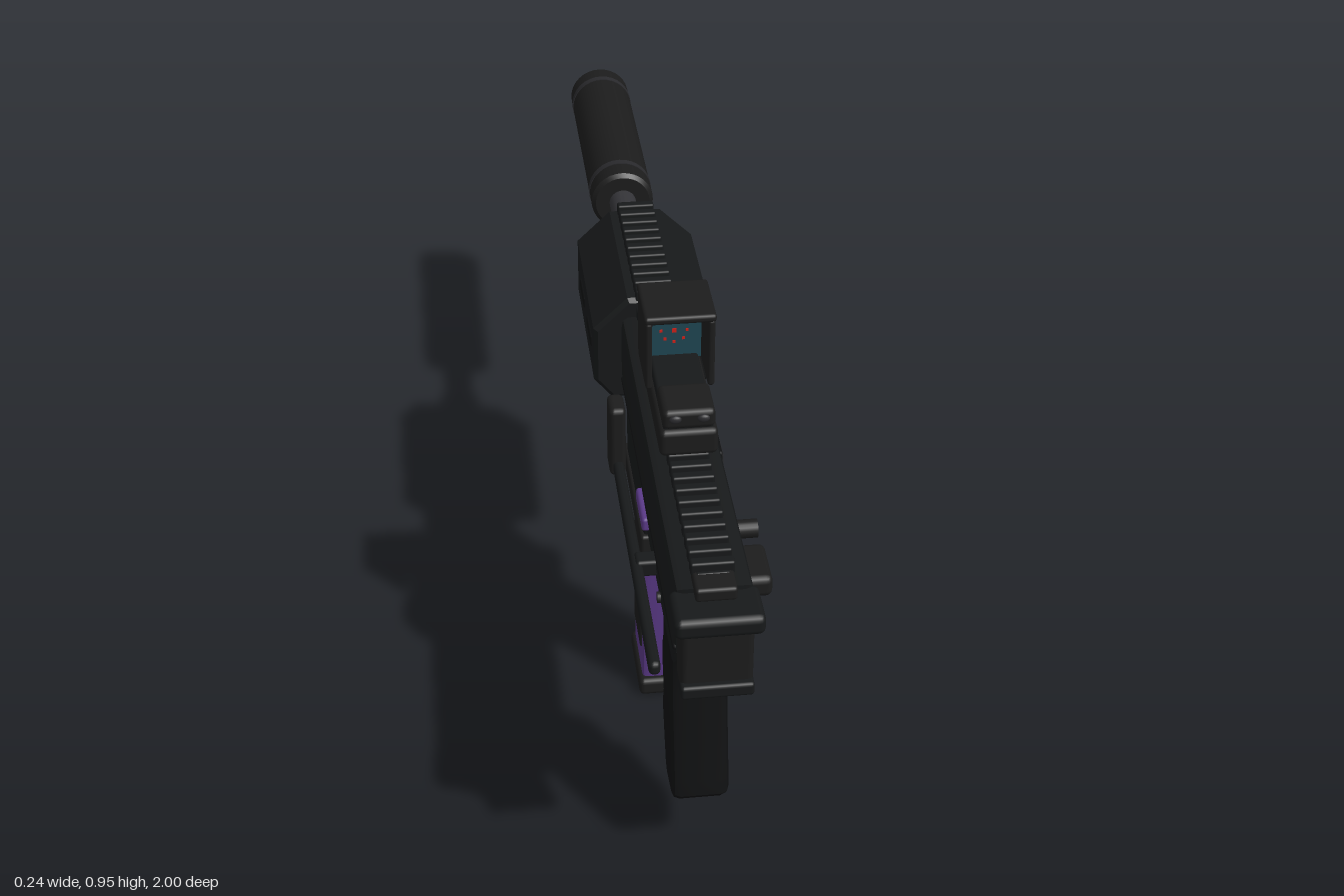
import * as THREE from 'three';
import { toCreasedNormals } from 'three/addons/utils/BufferGeometryUtils.js';
import { RoundedBoxGeometry } from 'three/addons/geometries/RoundedBoxGeometry.js';

const mat = (color) => new THREE.MeshStandardMaterial({ color });

export function createModel() {
  const model = new THREE.Group();
  const body = mat(0x17191a), dark = mat(0x101112), trim = mat(0x1c1c1c), steel = mat(0x343438),
    band = mat(0x29292c), purple = mat(0x5b3a88), glass = mat(0x1f4652), red = mat(0xd02018);

  function add(name, geometry, material, parent = model) {
    const mesh = new THREE.Mesh(geometry, material);
    mesh.name = name;
    parent.add(mesh);
    return mesh;
  }
  // Softened box given by its limits on each axis
  function box(name, [x0, x1], [y0, y1], [z0, z1], material, parent, r = 0.006) {
    const s = [x1 - x0, y1 - y0, z1 - z0];
    const g = new RoundedBoxGeometry(...s, 2, Math.min(r, Math.min(...s) * 0.45));
    g.translate((x0 + x1) / 2, (y0 + y1) / 2, (z0 + z1) / 2);
    return add(name, g, material, parent);
  }
  // Side profile of [z, y] points, extruded across x with a bevel
  function slab(name, points, width, bevel, material, x = 0, parent = model) {
    const shape = new THREE.Shape(points.map((p) => new THREE.Vector2(...p)));
    const g = new THREE.ExtrudeGeometry(shape, {
      depth: width - 2 * bevel, bevelEnabled: bevel > 0, bevelSize: bevel,
      bevelThickness: bevel, bevelOffset: -bevel, bevelSegments: 2,
    });
    g.translate(0, 0, -(width - 2 * bevel) / 2).rotateY(-Math.PI / 2).translate(x, 0, 0);
    return add(name, toCreasedNormals(g, 0.6), material, parent);
  }
  // Round part along z, from [radius, z] points running towards -z
  function turned(name, points, y, material, sides = 32) {
    const g = new THREE.LatheGeometry(points.map(([r, z]) => new THREE.Vector2(r, -z)), sides);
    g.rotateX(-Math.PI / 2).translate(0, y, 0);
    return add(name, toCreasedNormals(g, 0.5), material);
  }
  // Accessory rail: base strip with cross teeth
  function rail(name, y, z0, z1, count) {
    const g = new THREE.Group();
    g.name = name;
    model.add(g);
    box('railBase', [-0.027, 0.027], [y - 0.02, y + 0.016], [z0, z1], body, g, 0.003);
    const pitch = (z1 - z0) / count;
    for (let i = 0; i < count; i++) {
      const z = z0 + (i + 0.5) * pitch;
      box('railTooth', [-0.036, 0.036], [y + 0.008, y + 0.031], [z - pitch * 0.3, z + pitch * 0.3], body, g, 0.004);
    }
  }

  // Receiver
  slab('upperReceiver', [[0.925, 0.585], [0.88, 0.545], [0.15, 0.58], [0.105, 0.6], [0.105, 0.72], [0.925, 0.72]],
    0.128, 0.014, body);
  slab('lowerReceiver', [[0.92, 0.59], [0.92, 0.57], [0.86, 0.51], [0.45, 0.505], [0.44, 0.44], [0.16, 0.44],
    [0.145, 0.575], [0.11, 0.6]], 0.118, 0.01, body);
  box('magazineWellLip', [-0.065, 0.065], [0.425, 0.463], [0.145, 0.45], trim);
  box('ejectionPortFrame', [0.055, 0.069], [0.615, 0.705], [0.31, 0.54], dark);
  box('ejectionPort', [0.055, 0.073], [0.63, 0.69], [0.325, 0.525], band);
  for (const s of [-1, 1]) {
    box('boltCatch', [s * 0.065 - 0.008, s * 0.065 + 0.008], [0.544, 0.571], [0.44, 0.54], purple);
    box('receiverSeam', [s * 0.06 - 0.006, s * 0.06 + 0.006], [0.59, 0.602], [0.12, 0.92], dark);
    for (const z of [0.7, 0.42]) {
      const pin = new THREE.CylinderGeometry(0.01, 0.01, 0.01, 14).rotateZ(Math.PI / 2);
      add('receiverPin', pin.translate(s * 0.06, 0.525, z), trim);
    }
  }

  // Rear end cap
  box('rearPlate', [-0.06, 0.06], [0.55, 0.69], [0.92, 0.972], trim, model, 0.012);
  box('rearCap', [-0.073, 0.073], [0.675, 0.712], [0.91, 1], body, model, 0.012);
  box('rearStep', [-0.06, 0.06], [0.54, 0.565], [0.95, 0.985], body);
  box('rearSightBase', [-0.034, 0.034], [0.71, 0.735], [0.89, 0.95], trim);

  // Selector and release on the left side
  box('selectorLever', [0.055, 0.105], [0.645, 0.685], [0.77, 0.87], trim, model, 0.012);
  const knob = new THREE.CylinderGeometry(0.016, 0.016, 0.045, 18).rotateZ(Math.PI / 2);
  add('selectorKnob', knob.translate(0.075, 0.69, 0.74), trim);

  // Charging rod on the right side
  box('chargingRod', [-0.106, -0.086], [0.552, 0.578], [0.33, 0.935], body, model, 0.009);
  box('chargingHandle', [-0.112, -0.082], [0.545, 0.69], [0.31, 0.37], trim, model, 0.01);
  box('rodBracket', [-0.098, -0.05], [0.55, 0.582], [0.64, 0.675], body);

  // Handguard
  const section = [[-0.05, 0.755], [-0.115, 0.692], [-0.115, 0.578], [-0.08, 0.535],
    [0.08, 0.535], [0.115, 0.578], [0.115, 0.692], [0.05, 0.755]];
  const guard = new THREE.ExtrudeGeometry(new THREE.Shape(section.map((p) => new THREE.Vector2(...p))), {
    depth: 0.334, bevelSize: 0.008, bevelThickness: 0.008, bevelOffset: -0.008, bevelSegments: 1,
  });
  add('handguard', toCreasedNormals(guard.translate(0, 0, -0.242), 0.3), body);
  for (const s of [-1, 1]) for (const z of [0.015, -0.125]) {
    box('handguardSlot', [s * 0.113 - 0.005, s * 0.113 + 0.005], [0.628, 0.652], [z - 0.04, z + 0.04], dark);
  }
  rail('handguardRail', 0.75, -0.24, 0.12, 11);
  rail('receiverRail', 0.72, 0.11, 0.91, 24);

  // Barrel and suppressor
  turned('barrel', [[0, -0.2], [0.028, -0.2], [0.028, -0.5], [0, -0.5]], 0.648, steel, 24);
  turned('barrelNut', [[0, -0.24], [0.03, -0.24], [0.03, -0.265], [0.038, -0.272], [0.038, -0.335], [0.03, -0.345],
    [0, -0.345]], 0.648, trim, 16);
  turned('suppressor', [[0, -0.47], [0.057, -0.47], [0.065, -0.478], [0.065, -0.98], [0.055, -0.99],
    [0.026, -0.99], [0.026, -1], [0.014, -1], [0.014, -0.97], [0, -0.97]], 0.648, trim);
  for (const z of [-0.52, -0.925]) {
    turned('suppressorBand', [[0.06, z], [0.0662, z], [0.0662, z - 0.016], [0.06, z - 0.016]], 0.648, band);
  }

  // Pistol grip
  slab('grip', [[0.8, 0.53], [0.655, 0.53], [0.66, 0.43], [0.643, 0.39], [0.645, 0.35], [0.665, 0.3], [0.652, 0.26],
    [0.685, 0.19], [0.705, 0.15], [0.73, 0.137], [0.8, 0.147], [0.82, 0.17], [0.818, 0.2], [0.778, 0.37], [0.775, 0.46]],
  0.1, 0.014, dark);

  // Trigger and guard
  const guardPath = new THREE.CurvePath();
  const pts = [[0.655, 0.43], [0.635, 0.412], [0.46, 0.412], [0.446, 0.43], [0.446, 0.51]]
    .map(([z, y]) => new THREE.Vector3(0, y, z));
  for (let i = 1; i < pts.length; i++) guardPath.add(new THREE.LineCurve3(pts[i - 1], pts[i]));
  const loop = new THREE.TubeGeometry(guardPath, 48, 0.008, 8).scale(2.5, 1, 1);
  add('triggerGuard', loop, body);
  slab('trigger', [[0.59, 0.52], [0.555, 0.52], [0.558, 0.47], [0.58, 0.435], [0.592, 0.443], [0.574, 0.475]],
    0.024, 0.004, trim);

  // Magazine
  slab('magazine', [[0.362, 0.45], [0.218, 0.45], [0.204, 0.03], [0.342, 0.03]], 0.1, 0.01, purple);
  for (const s of [-1, 1]) {
    slab('magazinePanel', [[0.345, 0.412], [0.245, 0.412], [0.232, 0.108], [0.333, 0.108]], 0.008, 0.002, trim, s * 0.05);
  }
  box('magazineBase', [-0.057, 0.057], [0, 0.037], [0.195, 0.357], trim, model, 0.01);

  // Reflex sight
  const sight = new THREE.Group();
  sight.name = 'reflexSight';
  model.add(sight);
  box('sightMount', [-0.05, 0.05], [0.752, 0.803], [0.358, 0.61], trim, sight, 0.01);
  box('sightNeck', [-0.043, 0.043], [0.795, 0.82], [0.37, 0.6], body, sight);
  box('emitter', [-0.045, 0.045], [0.805, 0.842], [0.518, 0.608], trim, sight, 0.01);
  for (const s of [-1, 1]) {
    box('hoodSide', [s * 0.054 - 0.006, s * 0.054 + 0.006], [0.808, 0.94], [0.366, 0.485], trim, sight, 0.005);
    const button = new THREE.SphereGeometry(0.011, 14, 8).scale(1, 0.7, 0.5);
    add('sightButton', button.translate(s * 0.024, 0.827, 0.608), band, sight);
  }
  box('hoodTop', [-0.062, 0.062], [0.937, 0.952], [0.363, 0.487], trim, sight);
  box('lens', [-0.049, 0.049], [0.812, 0.926], [0.388, 0.396], glass, sight, 0.002);
  // Aiming dots
  for (let i = 0; i < 9; i++) {
    const a = (i * Math.PI) / 4, r = i < 8 ? 0.023 : 0, h = i < 8 ? 0.0025 : 0.004;
    const x = r * Math.cos(a), y = 0.87 + r * Math.sin(a);
    add('aimingDot', new THREE.BoxGeometry(2 * h, 2 * h, 0.002).translate(x, y, 0.3968), red, sight);
  }
  return model;
}
